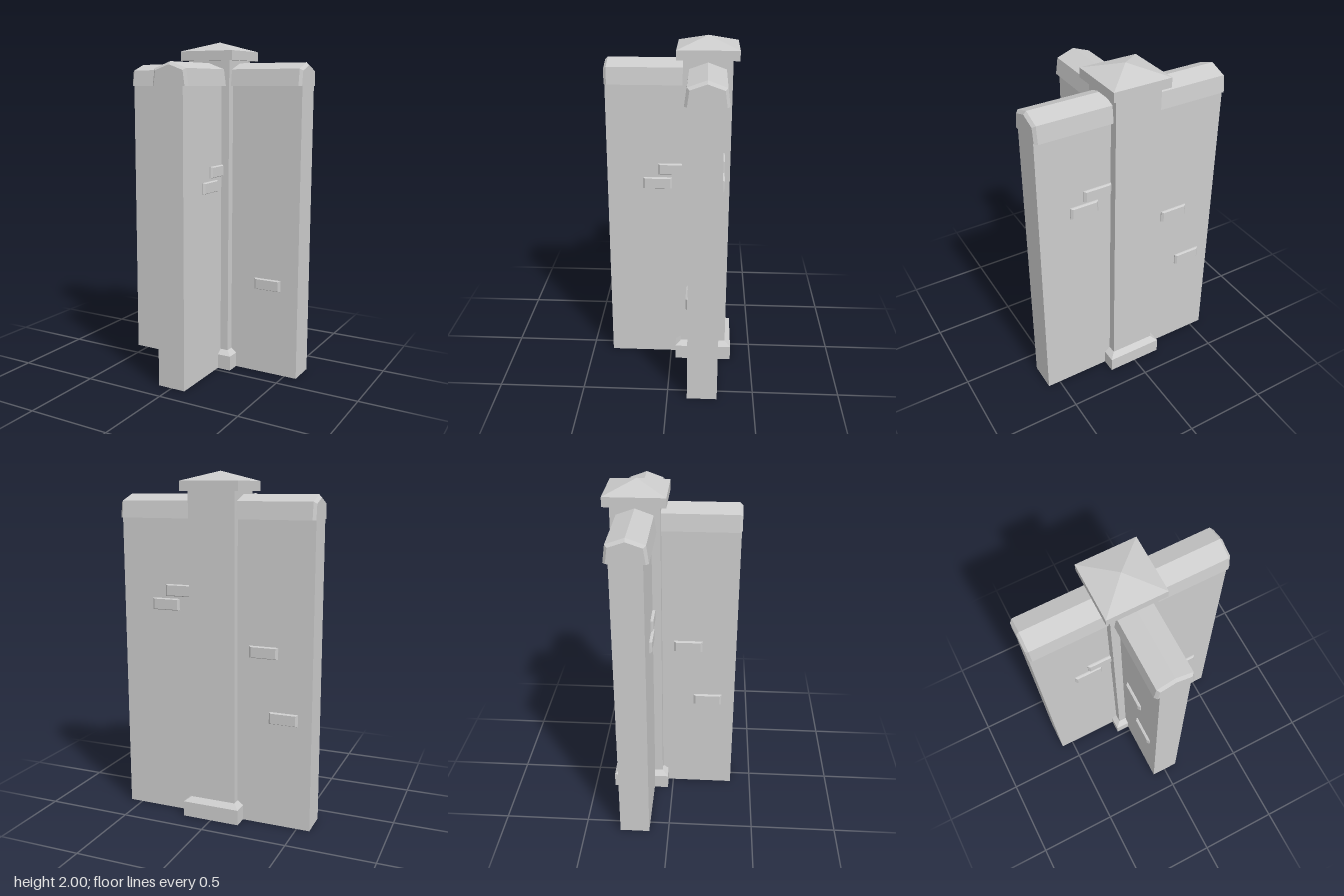
import * as THREE from 'three';

const material = new THREE.MeshStandardMaterial({ color: 0xcccccc, flatShading: true });

// Skin a stack of convex rings; each ring runs counter-clockwise seen from the last one's end.
function loft(rings) {
  const pos = [];
  const tri = (a, b, c) => pos.push(...a, ...b, ...c);
  const n = rings[0].length;
  for (let r = 0; r < rings.length - 1; r++) {
    for (let i = 0; i < n; i++) {
      const j = (i + 1) % n;
      const [p, q] = [rings[r], rings[r + 1]];
      tri(p[i], p[j], q[j]);
      tri(p[i], q[j], q[i]);
    }
  }
  const first = rings[0], last = rings[rings.length - 1];
  for (let i = 1; i < n - 1; i++) {
    tri(first[0], first[i + 1], first[i]);
    tri(last[0], last[i], last[i + 1]);
  }
  const geometry = new THREE.BufferGeometry();
  geometry.setAttribute('position', new THREE.Float32BufferAttribute(pos, 3));
  geometry.computeVertexNormals();
  return geometry;
}

function add(parent, name, geometry, x = 0, y = 0, z = 0) {
  const mesh = new THREE.Mesh(geometry, material);
  mesh.name = name;
  mesh.position.set(x, y, z);
  parent.add(mesh);
  return mesh;
}

const squareRing = (h, y) => [[h, y, h], [h, y, -h], [-h, y, -h], [-h, y, h]];

// Gabled coping section at distance x along a wall
const copingRing = (x, foot, shoulder, shoulderY, ridgeY) => [
  [x, 1.742, -foot], [x, shoulderY, -shoulder], [x, ridgeY, 0],
  [x, shoulderY, shoulder], [x, 1.742, foot],
];

const brickRing = (w, h, z) => [[-w, -h, z], [w, -h, z], [w, h, z], [-w, h, z]];

const WALL_HALF = 0.087;
const brickGeometry = loft([
  brickRing(0.085, 0.034, -0.02),
  brickRing(0.085, 0.034, 0.006),
  brickRing(0.073, 0.029, 0.016),
]);

// One wall running along local +x; bricks are [distance, height] per face
function createWall(name, angle, positiveFace, negativeFace) {
  const wall = new THREE.Group();
  wall.name = name;
  wall.rotation.y = angle;
  const length = 0.576;
  add(wall, 'wallBody', new THREE.BoxGeometry(length, 1.78, WALL_HALF * 2), length / 2, 0.89, 0);
  add(wall, 'coping', loft([
    copingRing(0.05, 0.115, 0.102, 1.838, 1.875),
    copingRing(0.563, 0.115, 0.102, 1.838, 1.875),
    copingRing(0.579, 0.1, 0.088, 1.827, 1.858),
  ]));
  for (const [x, y] of positiveFace) {
    add(wall, 'raisedBrick', brickGeometry, x, y, WALL_HALF);
  }
  for (const [x, y] of negativeFace) {
    add(wall, 'raisedBrick', brickGeometry, x, y, -WALL_HALF).rotation.y = Math.PI;
  }
  return wall;
}

export function createModel() {
  const model = new THREE.Group();
  model.name = 'wallJunction';

  // Everything is arranged around the pillar axis
  const junction = new THREE.Group();
  junction.name = 'junction';
  junction.position.z = -0.2025;
  model.add(junction);

  // Pillar with chamfered plinth and pyramid cap
  const pillar = new THREE.Group();
  pillar.name = 'pillar';
  add(pillar, 'shaft', new THREE.BoxGeometry(0.274, 1.9, 0.274), 0, 0.95, 0);
  add(pillar, 'plinth', loft([
    squareRing(0.172, 0), squareRing(0.172, 0.09), squareRing(0.137, 0.115),
  ]));
  add(pillar, 'capSlab', new THREE.BoxGeometry(0.344, 0.055, 0.344), 0, 1.9175, 0);
  const roof = new THREE.ConeGeometry(0.172 * Math.SQRT2, 0.055, 4).rotateY(Math.PI / 4);
  add(pillar, 'capPyramid', roof, 0, 1.9725, 0);
  junction.add(pillar);

  // Three walls meeting in a T
  const scattered = [[0.292, 1.016], [0.413, 0.645]];
  const paired = [[0.195, 1.242], [0.282, 1.157]];
  const raisedPair = [[0.22, 1.335], [0.303, 1.253]];
  junction.add(
    createWall('leftWall', 0, [[0.38, 0.56]], raisedPair),
    createWall('frontWall', -Math.PI / 2, scattered, paired),
    createWall('rightWall', Math.PI, scattered, paired),
  );
  return model;
}
